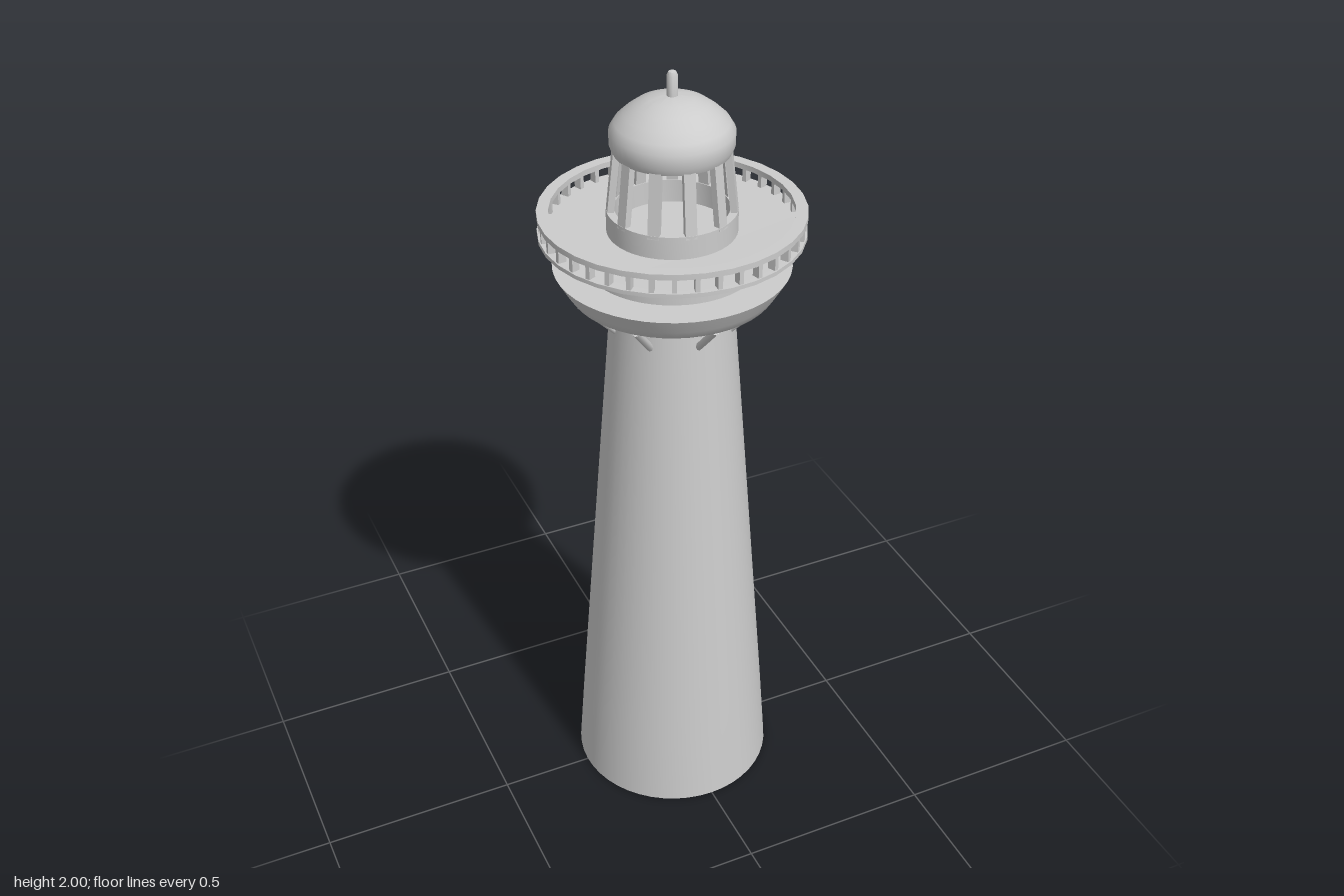
import * as THREE from 'three';
import { toCreasedNormals } from 'three/addons/utils/BufferGeometryUtils.js';

export function createModel() {
  const model = new THREE.Group();
  const material = new THREE.MeshStandardMaterial({ color: 0xcccccc, side: THREE.DoubleSide });

  function add(name, geometry, parent = model) {
    const mesh = new THREE.Mesh(geometry, material);
    mesh.name = name;
    parent.add(mesh);
    return mesh;
  }

  // Turned part from [radius, height] points, listed counter-clockwise
  function turned(name, points, sides = 48) {
    const profile = points.map(([r, y]) => new THREE.Vector2(r, y));
    return add(name, toCreasedNormals(new THREE.LatheGeometry(profile, sides), 0.6));
  }

  // Ring with a rectangular section
  function ring(name, inner, outer, bottom, top, sides) {
    return turned(name, [[inner, bottom], [outer, bottom], [outer, top], [inner, top], [inner, bottom]], sides);
  }

  // Round or square bar between two points
  function bar(name, from, to, radius, sides, parent) {
    const direction = to.clone().sub(from);
    const mesh = add(name, new THREE.CylinderGeometry(radius, radius, direction.length(), sides), parent);
    mesh.position.copy(from).add(to).multiplyScalar(0.5);
    mesh.quaternion.setFromUnitVectors(new THREE.Vector3(0, 1, 0), direction.normalize());
    return mesh;
  }

  // Repeats a part around the vertical axis
  function around(name, count, build) {
    const group = new THREE.Group();
    group.name = name;
    for (let i = 0; i < count; i++) {
      const spoke = new THREE.Group();
      spoke.rotation.y = (i / count) * Math.PI * 2;
      build(spoke);
      group.add(spoke);
    }
    model.add(group);
  }

  // Tapered tower
  turned('tower', [[0, 0], [0.26, 0], [0.244, 0.215], [0.145, 1.46], [0, 1.46]]);

  // Door panel on the left side, leaning with the wall
  const door = new THREE.BoxGeometry(0.06, 0.215, 0.092);
  const corners = door.attributes.position;
  for (let i = 0; i < corners.count; i++) {
    if (corners.getY(i) > 0) {
      corners.setX(i, corners.getX(i) - 0.009);
      corners.setZ(i, corners.getZ(i) * 0.9);
    }
  }
  door.computeVertexNormals();
  add('door', door).position.set(0.229, 0.1075, -0.008);

  // Flared gallery, its drum and the struts below it
  turned('gallery', [[0, 1.455], [0.232, 1.455], [0.246, 1.464], [0.26, 1.486], [0.282, 1.525], [0, 1.525]]);
  turned('drum', [[0.205, 1.522], [0.205, 1.6], [0, 1.603]]);
  around('struts', 8, (spoke) => {
    bar('strut', new THREE.Vector3(0.145, 1.37, 0), new THREE.Vector3(0.235, 1.462, 0), 0.009, 8, spoke);
  });

  // Balcony floor and railing
  turned('balconyFloor', [[0, 1.6], [0.2, 1.6], [0.313, 1.606], [0.313, 1.616], [0.285, 1.616], [0, 1.608]], 32);
  ring('topRail', 0.285, 0.313, 1.65, 1.664, 32);
  around('railPosts', 38, (spoke) => {
    add('railPost', new THREE.BoxGeometry(0.02, 0.044, 0.011), spoke).position.set(0.299, 1.632, 0);
  });

  // Open lantern room
  ring('lanternBase', 0.134, 0.153, 1.604, 1.668);
  around('lanternColumns', 11, (spoke) => {
    const column = add('lanternColumn', new THREE.BoxGeometry(0.016, 0.162, 0.027), spoke);
    column.position.set(0.136, 1.739, 0);
    column.rotation.z = 0.11;
  });

  // Domed roof, hollow underneath
  turned('dome', [
    [0.118, 1.81], [0.135, 1.81], [0.143, 1.828], [0.143, 1.86], [0.131, 1.88], [0.11, 1.9],
    [0.083, 1.92], [0.052, 1.934], [0.022, 1.94], [0, 1.941],
  ]);
  turned('domeLining', [[0, 1.925], [0.07, 1.91], [0.115, 1.87], [0.118, 1.81]]);

  // Finial with a rounded tip
  turned('finial', [[0.013, 1.93], [0.013, 1.987], [0.009, 1.996], [0, 2]], 16);

  return model;
}
